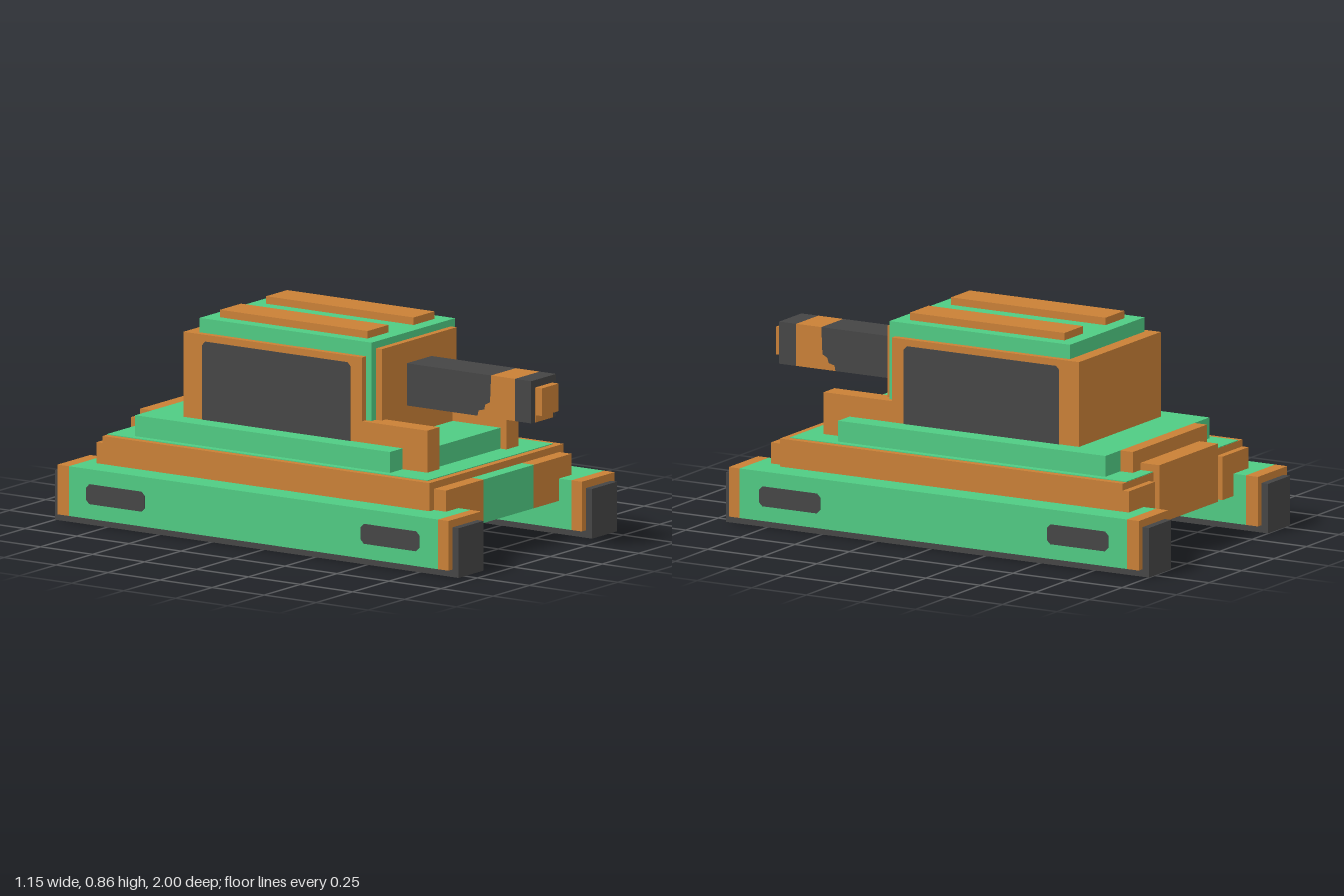
import * as THREE from 'three';

export function createModel() {
  const model = new THREE.Group();
  model.name = 'tank';
  const mat = (name, color) => {
    const m = new THREE.MeshStandardMaterial({ color });
    m.name = name;
    return m;
  };
  const green = mat('green', 0x4fcb83);
  const orange = mat('orange', 0xc98036);
  const dark = mat('dark grey', 0x454545);

  const add = (name, geometry, material) => {
    const mesh = new THREE.Mesh(geometry, material);
    mesh.name = name;
    model.add(mesh);
    return mesh;
  };
  // Box from its minimum and maximum on each axis
  const box = (name, material, x0, x1, y0, y1, z0, z1) => {
    const g = new THREE.BoxGeometry(x1 - x0, y1 - y0, z1 - z0);
    g.translate((x0 + x1) / 2, (y0 + y1) / 2, (z0 + z1) / 2);
    return add(name, g, material);
  };
  // The same box on the left (+x) and on the right
  const pair = (name, material, x0, x1, ...yz) => {
    box(name + 'Left', material, x0, x1, ...yz);
    box(name + 'Right', material, -x1, -x0, ...yz);
  };
  // Outline of [z, y] points extruded across x from x0 to x1
  const profile = (name, material, points, x0, x1) => {
    const shape = new THREE.Shape(points.map(([z, y]) => new THREE.Vector2(z, y)));
    const g = new THREE.ExtrudeGeometry(shape, { depth: x1 - x0, bevelEnabled: false });
    g.rotateY(-Math.PI / 2).translate(x1, 0, 0);
    return add(name, g, material);
  };
  // Thin plates with clipped corners on both side faces at |x| = x
  const sidePlates = (name, x, z0, z1, y0, y1, c, cBottom = c) => {
    const pts = [
      [z0 + cBottom, y0], [z1 - cBottom, y0], [z1, y0 + cBottom], [z1, y1 - c],
      [z1 - c, y1], [z0 + c, y1], [z0, y1 - c], [z0, y0 + cBottom],
    ];
    profile(name + 'Left', dark, pts, x - 0.002, x + 0.003);
    profile(name + 'Right', dark, pts, -x - 0.003, -x + 0.002);
  };

  // Track pods with orange ends, treads and side slots
  pair('trackPod', green, 0.345, 0.57, 0.03, 0.23, -0.915, 0.86);
  pair('podFrontCap', orange, 0.345, 0.57, 0.03, 0.23, 0.86, 0.91);
  pair('podRearCap', orange, 0.345, 0.57, 0.03, 0.23, -0.97, -0.915);
  pair('tread', dark, 0.373, 0.543, 0, 0.2, -1, 0.94);
  sidePlates('frontSlot', 0.57, 0.49, 0.77, 0.09, 0.17, 0.015);
  sidePlates('rearSlot', 0.57, -0.83, -0.55, 0.09, 0.17, 0.015);

  // Hull: orange flanks, green underside, green top inside an orange rim
  box('hull', [orange, orange, orange, green, orange, orange],
    -0.46, 0.46, 0.14, 0.343, -0.83, 0.742);
  box('hullTop', green, -0.43, 0.43, 0.338, 0.346, -0.829, 0.712);
  pair('nose', orange, 0.172, 0.43, 0.14, 0.315, 0.74, 0.8);
  box('noseCentre', green, -0.172, 0.172, 0.14, 0.315, 0.74, 0.8);

  // Rear panels
  pair('rearSidePanel', orange, 0.26, 0.46, 0.14, 0.315, -0.858, -0.82);
  box('rearCentrePanel', orange, -0.225, 0.225, 0.14, 0.375, -0.858, -0.75);

  // Deck under the turret
  box('deck', green, -0.4, 0.4, 0.34, 0.43, -0.715, 0.51);
  box('deckFront', green, -0.23, 0.23, 0.34, 0.43, 0.5, 0.6);
  box('deckRearBlock', orange, -0.285, 0.285, 0.34, 0.43, -0.772, -0.715);
  pair('deckArm', orange, 0.23, 0.313, 0.34, 0.515, 0.3, 0.628);

  // Turret: orange body, green cap and front frame, roof strips, side windows
  box('turretBody', orange, -0.314, 0.314, 0.42, 0.772, -0.543, 0.315);
  box('turretCap', green, -0.286, 0.286, 0.765, 0.83, -0.485, 0.342);
  box('turretFrame', green, -0.286, 0.286, 0.43, 0.77, 0.3, 0.342);
  box('turretFrontPanel', orange, -0.257, 0.257, 0.43, 0.802, 0.33, 0.37);
  pair('roofStrip', orange, 0.086, 0.23, 0.825, 0.86, -0.426, 0.283);
  sidePlates('window', 0.314, -0.452, 0.26, 0.43, 0.745, 0.015, 0.001);

  // Gun: dark barrel, orange band with a stepped rear edge, dark muzzle
  const [b, t, w] = [0.546, 0.716, 0.085];
  const step = [[0.71, b], [0.715, 0.568], [0.742, 0.575], [0.747, 0.595], [0.77, 0.607], [0.775, t]];
  profile('barrel', dark, [[0.36, b], ...step, [0.36, t]], -w, w);
  profile('barrelBand', orange, [...step.slice().reverse(), [0.71, b], [0.89, b], [0.89, t]], -w, w);
  box('muzzle', dark, -w, w, b, t, 0.89, 0.968);
  box('muzzleFace', orange, -0.06, 0.06, b, 0.686, 0.965, 0.971);
  box('muzzleTip', orange, -0.058, 0.058, 0.575, 0.686, 0.96, 1);

  return model;
}
